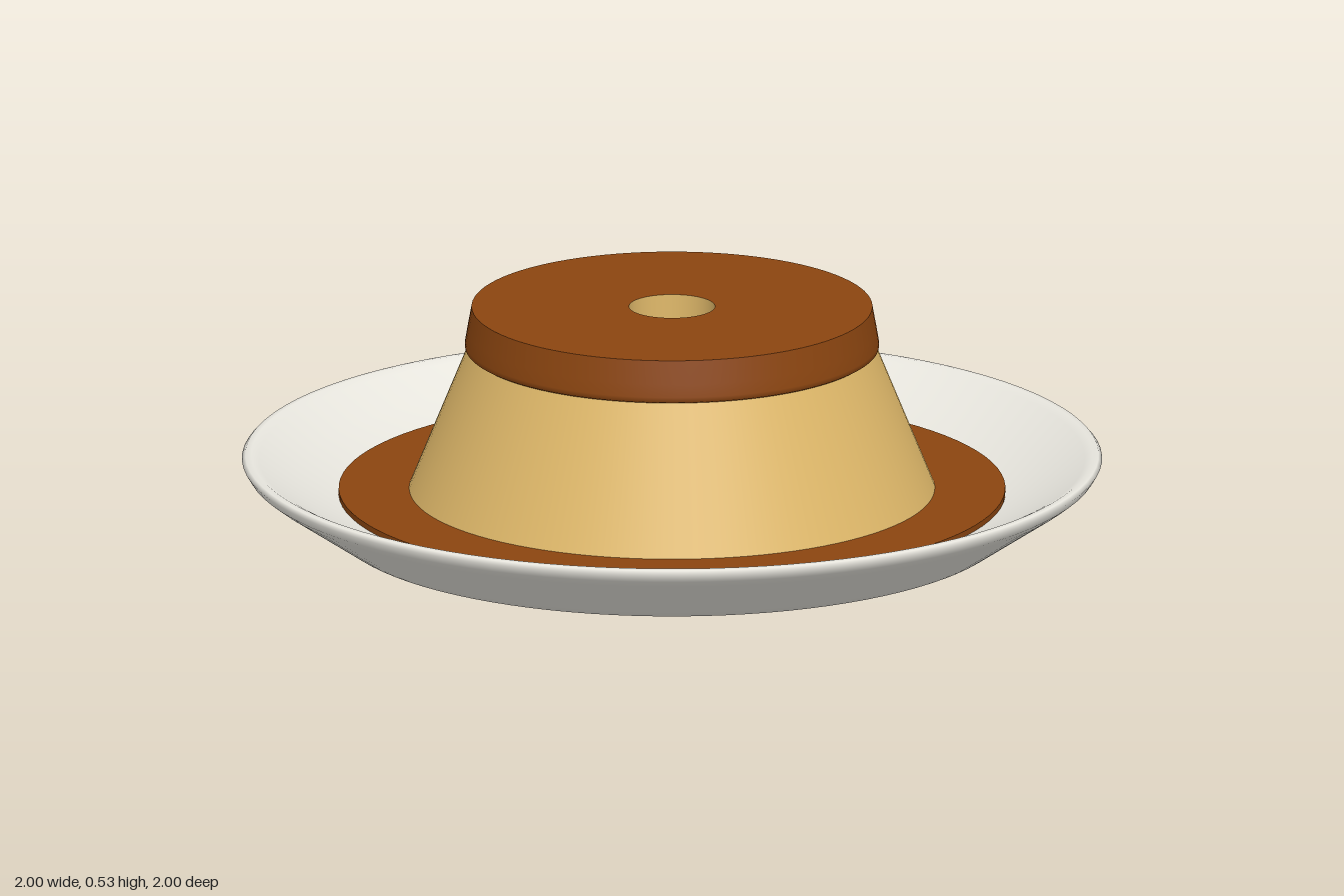
import * as THREE from 'three';
import { mergeGeometries } from 'three/addons/utils/BufferGeometryUtils.js';

const SEGMENTS = 96;

// Revolve each profile separately, so edges between profiles stay sharp
function turned(name, material, ...profiles) {
  const parts = profiles.map((profile) =>
    new THREE.LatheGeometry(profile.map(([r, y]) => new THREE.Vector2(r, y)), SEGMENTS));
  const mesh = new THREE.Mesh(mergeGeometries(parts), material);
  mesh.name = name;
  return mesh;
}

function flat(name, color) {
  const material = new THREE.MeshStandardMaterial({ color });
  material.name = name;
  return material;
}

export function createModel() {
  const china = flat('china', 0xf0eee6);
  const custard = flat('custard', 0xe0b96a);
  const caramel = flat('caramel', 0x8b4510);

  const group = new THREE.Group();
  group.name = 'custardPudding';

  // Shallow dish with a rounded lip
  group.add(turned('plate', china, [
    [0, 0], [0.76, 0], [0.785, 0.003], [0.81, 0.02], [0.965, 0.125], [0.988, 0.143],
    [1, 0.163], [0.992, 0.172], [0.978, 0.173], [0.96, 0.164],
    [0.87, 0.115], [0.78, 0.08], [0.74, 0.07], [0, 0.07],
  ]));

  // Pool of sauce in the dish, also seen at the bottom of the hole
  group.add(turned('saucePool', caramel,
    [[0.775, 0.07], [0.775, 0.092]],
    [[0.775, 0.092], [0, 0.092]]));

  // Tapered body
  group.add(turned('puddingBody', custard,
    [[0.612, 0.09], [0.47, 0.44]]));

  // Wall of the central hole
  group.add(turned('holeWall', custard, [[0.1, 0.53], [0.1, 0.09]]));

  // Sauce cap with a rounded lower lip and an opening in the top
  group.add(turned('sauceCap', caramel,
    [[0.455, 0.43], [0.474, 0.43], [0.481, 0.434], [0.481, 0.445], [0.476, 0.475], [0.466, 0.53]],
    [[0.466, 0.53], [0.1, 0.53]]));

  return group;
}
